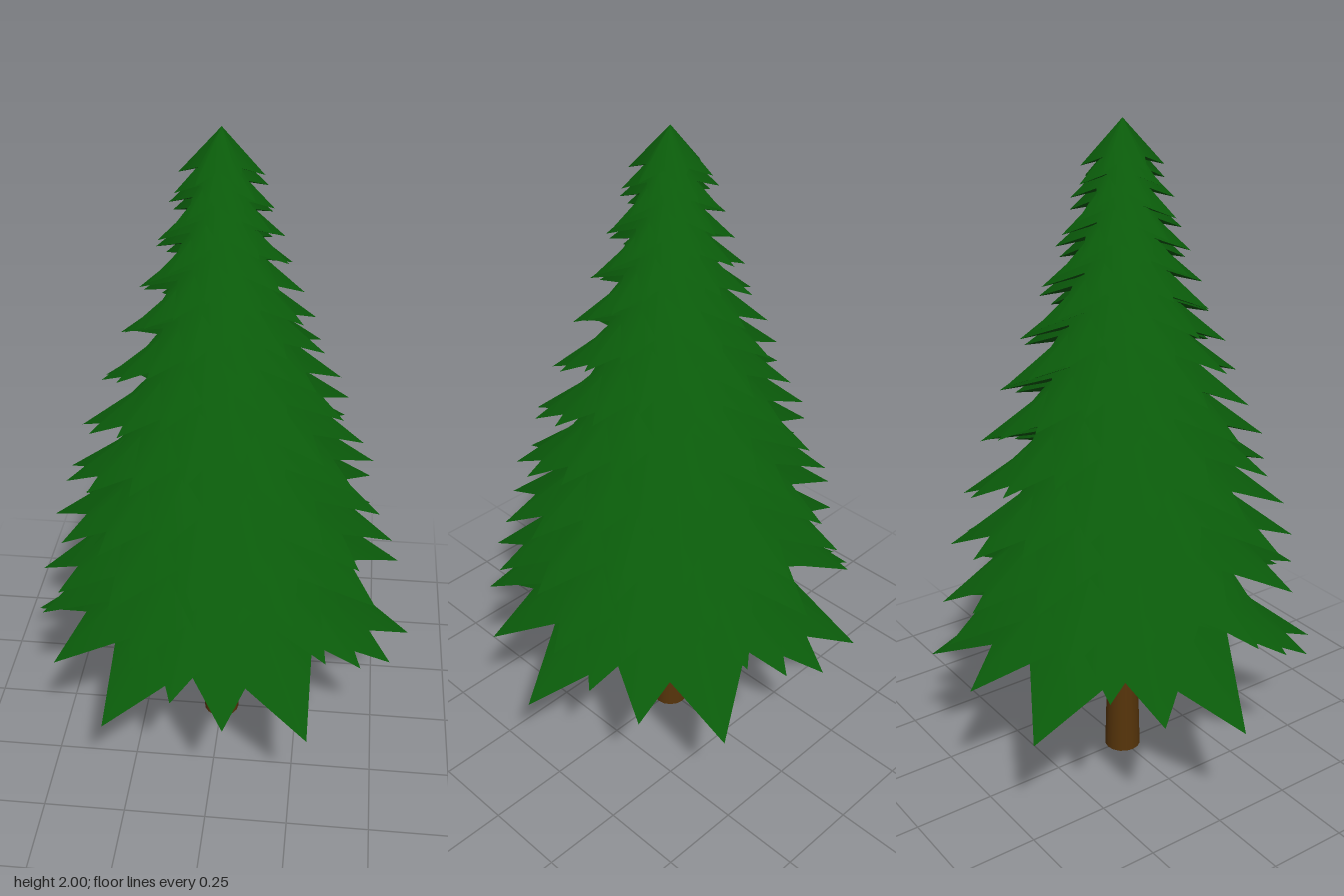
import * as THREE from 'three';

const TIERS = 26;
const POINTS = 6;

// Closed cone whose rim alternates between drooping tips and pulled-in notches.
function starCone(radius, height, droop) {
  const geo = new THREE.ConeGeometry(radius, height, POINTS * 2, 1);
  geo.translate(0, height / 2, 0);
  const pos = geo.attributes.position;
  for (let i = 0; i < pos.count; i++) {
    const x = pos.getX(i);
    const z = pos.getZ(i);
    if (Math.hypot(x, z) < radius * 0.5) continue; // apex and base centre stay put
    const k = Math.round((Math.atan2(z, x) * POINTS) / Math.PI);
    if (k % 2 === 0) pos.setY(i, -droop);
    else pos.setXYZ(i, x * 0.575, 0, z * 0.575);
  }
  return geo; // cone normals are kept, so each tip shades as one smooth leaf
}

export function createModel() {
  const tree = new THREE.Group();
  tree.name = 'pineTree';

  const needleGreen = new THREE.MeshStandardMaterial({ color: 0x0a5a0a });
  needleGreen.name = 'needle green';
  const barkBrown = new THREE.MeshStandardMaterial({ color: 0x56340a });
  barkBrown.name = 'bark brown';

  // Tapered trunk
  const trunk = new THREE.Mesh(new THREE.CylinderGeometry(0.038, 0.057, 0.68, 16), barkBrown);
  trunk.name = 'trunk';
  trunk.position.y = 0.34;
  tree.add(trunk);

  // Overlapping branch tiers, smaller and steeper towards the top
  const foliage = new THREE.Group();
  foliage.name = 'foliage';
  const lowTurns = [0, 24, 39, 52, 28, 2, 33];
  for (let i = 0; i < TIERS; i++) {
    const t = i / (TIERS - 1);
    const radius = 0.6 - 0.485 * t + 0.022 * Math.sin(2 * Math.PI * t);
    const tipY = 0.365 + 1.509 * (1.29 * t - 0.29 * t * t);
    const droop = 0.235 * radius;
    const height = 0.05 + 0.43 * radius;
    const degrees = i === TIERS - 1 ? 0 : lowTurns[i] ?? 33 + (i - 6) * 37.1;
    const tier = new THREE.Mesh(starCone(radius, height, droop), needleGreen);
    tier.name = `branchTier${i + 1}`;
    tier.position.y = tipY + droop;
    tier.rotation.y = -THREE.MathUtils.degToRad(degrees);
    foliage.add(tier);
  }
  tree.add(foliage);

  return tree;
}
